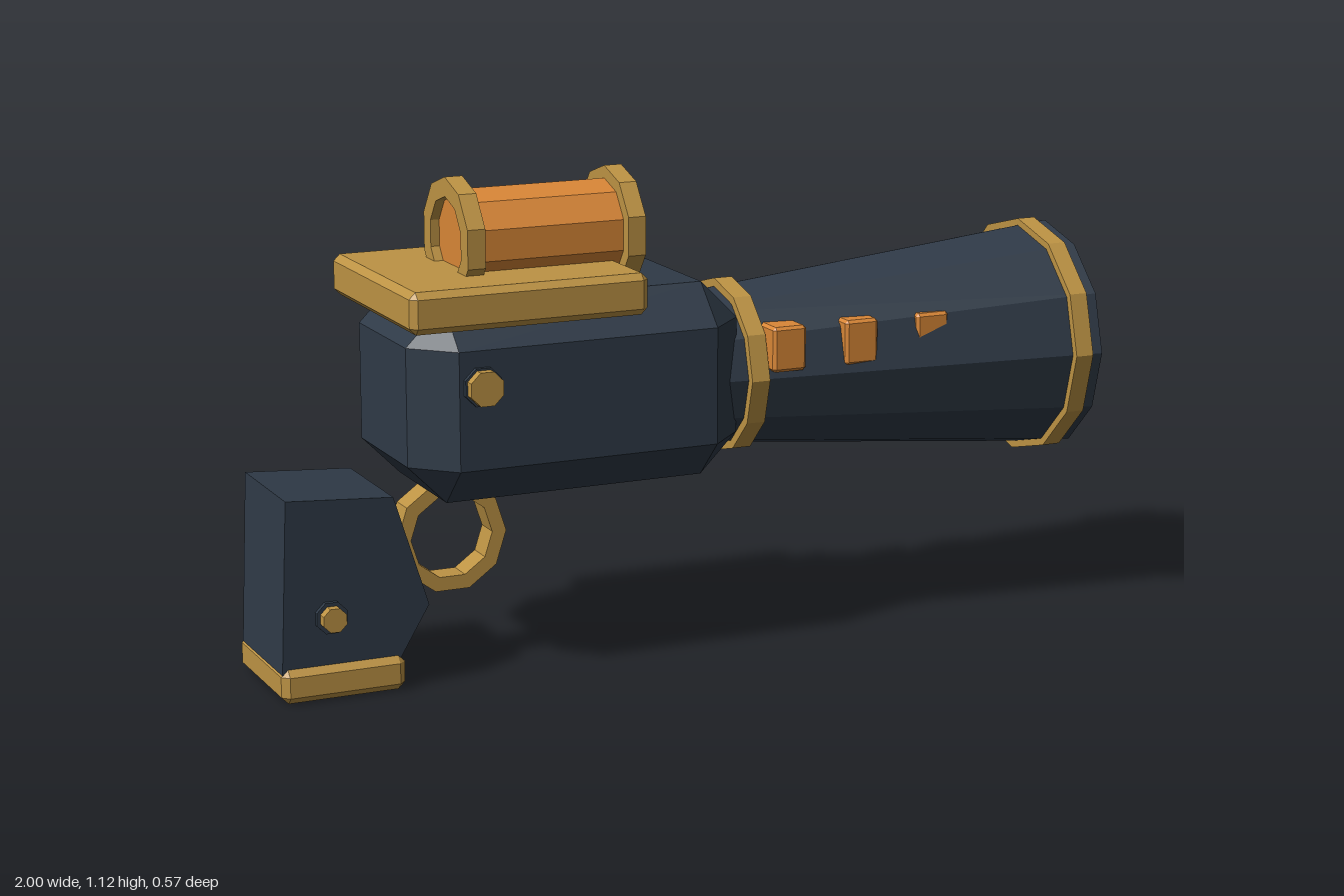
import * as THREE from 'three';
import { ConvexGeometry } from 'three/addons/geometries/ConvexGeometry.js';

const flat = (name, color) => new THREE.MeshStandardMaterial({ name, color, flatShading: true });

// Box with every edge cut off by c, given by its limits on each axis
function chamferBox([x0, x1], [y0, y1], [z0, z1], c) {
  const half = [(x1 - x0) / 2, (y1 - y0) / 2, (z1 - z0) / 2];
  const points = [];
  for (const sx of [-1, 1]) for (const sy of [-1, 1]) for (const sz of [-1, 1]) {
    for (let axis = 0; axis < 3; axis++) {
      const h = half.map((v, i) => (i === axis ? v : v - c));
      points.push(new THREE.Vector3(sx * h[0], sy * h[1], sz * h[2]));
    }
  }
  return new ConvexGeometry(points).translate((x0 + x1) / 2, (y0 + y1) / 2, (z0 + z1) / 2);
}

// Cylinder or cone along x with a vertex at the top
function xCylinder(x0, x1, r0, r1, y, sides) {
  return new THREE.CylinderGeometry(r1, r0, x1 - x0, sides)
    .rotateY(Math.PI / 2).rotateZ(-Math.PI / 2).translate((x0 + x1) / 2, y, 0);
}

// Regular polygon ring, extruded along z and centred
function polygonRing(outer, inner, depth, sides, start) {
  const corners = (r) => Array.from({ length: sides }, (_, i) => {
    const a = start + (i / sides) * Math.PI * 2;
    return new THREE.Vector2(Math.cos(a) * r, Math.sin(a) * r);
  });
  const shape = new THREE.Shape(corners(outer));
  shape.holes.push(new THREE.Path(corners(inner).reverse()));
  return new THREE.ExtrudeGeometry(shape, { depth, bevelEnabled: false }).translate(0, 0, -depth / 2);
}

export function createModel() {
  const model = new THREE.Group();
  model.name = 'blaster';
  const steel = flat('dark steel', 0x2f3a47);
  const brass = flat('brass', 0xbd9344);
  const amber = flat('amber', 0xd98737);

  const add = (name, geometry, material) => {
    const mesh = new THREE.Mesh(geometry, material);
    mesh.name = name;
    model.add(mesh);
    return mesh;
  };

  // Receiver and flared barrel
  add('receiver', chamferBox([-0.7, 0.1], [0.42, 0.868], [-0.24, 0.24], 0.09), steel);
  const barrelY = 0.635;
  add('barrel', xCylinder(-0.02, 1, 0.172, 0.275, barrelY, 12), steel);
  add('rearBarrelBand', xCylinder(0.115, 0.16, 0.205, 0.205, barrelY, 12), brass);
  add('muzzleBand', xCylinder(0.925, 0.97, 0.284, 0.284, barrelY, 12), brass);

  // Top plate with the canister between two rings
  add('topPlate', chamferBox([-0.725, -0.165], [0.826, 0.92], [-0.26, 0.26], 0.015), brass);
  const canisterY = 0.98;
  add('canister', xCylinder(-0.525, -0.14, 0.113, 0.113, canisterY, 10), amber);
  for (const [name, x] of [['rearCanisterRing', -0.525], ['frontCanisterRing', -0.14]]) {
    const ring = polygonRing(0.142, 0.098, 0.042, 10, Math.PI / 2).rotateY(Math.PI / 2);
    add(name, ring.translate(x, canisterY, 0), brass);
  }

  // Trigger ring
  add('triggerRing', polygonRing(0.132, 0.098, 0.064, 10, 0).translate(-0.554, 0.307, 0), brass);

  // Grip and its base
  const gripShape = new THREE.Shape([
    [-0.998, 0.04], [-0.73, 0.06], [-0.652, 0.19], [-0.732, 0.445], [-0.98, 0.462],
  ].map(([x, y]) => new THREE.Vector2(x, y)));
  const grip = new THREE.ExtrudeGeometry(gripShape, { depth: 0.284, bevelEnabled: false });
  add('grip', grip.translate(0, 0, -0.142), steel);
  add('gripBase', chamferBox([-1, -0.712], [0.003, 0.082], [-0.157, 0.157], 0.016), brass);

  // Bolts with washers, and barrel windows, on both sides
  for (const [side, s] of [['left', 1], ['right', -1]]) {
    const stud = (name, r, x, y, z0, z1, material) => {
      const geometry = new THREE.CylinderGeometry(r, r, z1 - z0, 8).rotateY(Math.PI / 8);
      add(name, geometry.rotateX(Math.PI / 2).translate(x, y, s * (z0 + z1) / 2), material);
    };
    const ends = { front: 1, back: -1 };
    const label = s === ends.front ? 'front' : 'back';
    stud(label + 'ReceiverWasher', 0.046, -0.557, 0.698, 0.22, 0.25, steel);
    stud(label + 'ReceiverBolt', 0.041, -0.557, 0.698, 0.22, 0.272, brass);
    stud(label + 'GripWasher', 0.038, -0.883, 0.19, 0.12, 0.153, steel);
    stud(label + 'GripBolt', 0.029, -0.883, 0.19, 0.12, 0.175, brass);

    [0.208, 0.393, 0.578].forEach((x, i) => {
      const z = [s * 0.13, s * 0.211].sort((a, b) => a - b);
      add(label + 'BarrelWindow' + (i + 1), chamferBox([x - 0.042, x + 0.042], [0.652, 0.757], z, 0.007), amber);
    });
  }
  return model;
}
